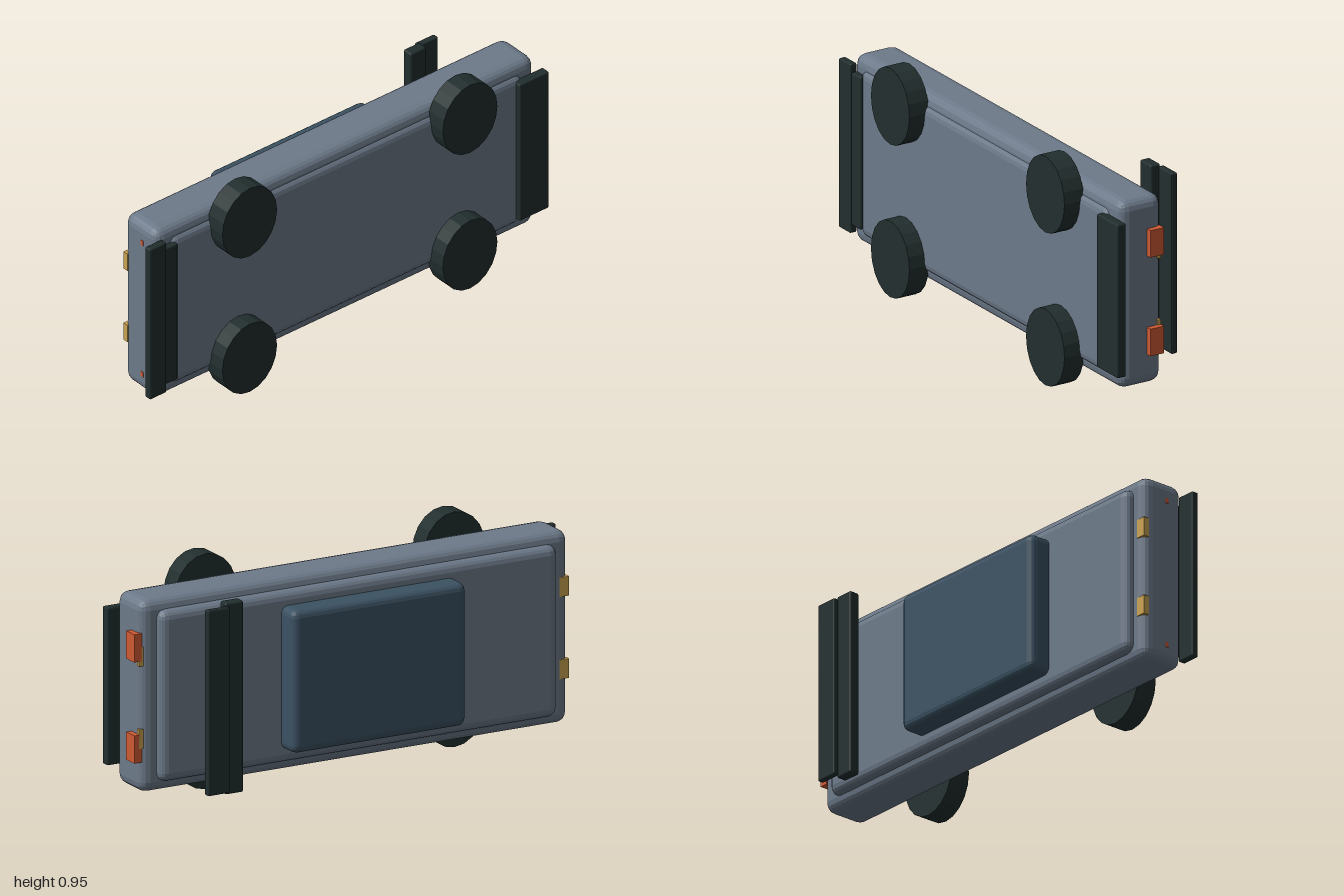
import * as THREE from 'three';
import { RoundedBoxGeometry } from 'three/addons/geometries/RoundedBoxGeometry.js';

const mat = (name, color) => {
  const m = new THREE.MeshStandardMaterial({ color });
  m.name = name;
  return m;
};

export function createModel() {
  const car = new THREE.Group();
  car.name = 'car';
  const paint = mat('greyPaint', 0x6d7a8a);
  const glass = mat('blueGlass', 0x3c5263);
  const dark = mat('darkTrim', 0x222e2e);
  const orange = mat('orangeLight', 0xcf5a33);
  const yellow = mat('yellowLight', 0xcaa352);

  // Box given by its limits on each axis, with optional faceted bevels
  function block(name, material, [x0, x1], [y0, y1], [z0, z1], bevel = 0) {
    const size = [x1 - x0, y1 - y0, z1 - z0];
    const geo = bevel ? new RoundedBoxGeometry(...size, 2, bevel) : new THREE.BoxGeometry(...size);
    geo.computeVertexNormals();
    const mesh = new THREE.Mesh(geo, material);
    mesh.name = name;
    mesh.position.set((x0 + x1) / 2, (y0 + y1) / 2, (z0 + z1) / 2);
    car.add(mesh);
    return mesh;
  }

  // Body shell, deck with underside, and cabin; the roof faces -z
  block('body', paint, [-0.945, 0.96], [0.088, 0.865], [-0.045, 0.15], 0.042);
  block('deck', paint, [-0.88, 0.89], [0.13, 0.822], [-0.08, 0.165], 0.036);
  block('cabin', glass, [-0.42, 0.355], [0.188, 0.765], [-0.17, -0.04], 0.03);

  // Bumpers and splitter
  block('rearBumper', dark, [0.85, 0.998], [0.16, 0.795], [0.147, 0.187], 0.006);
  block('frontSplitter', dark, [-1, -0.917], [0.13, 0.83], [0.15, 0.181], 0.006);
  block('frontBumper', dark, [-0.92, -0.855], [0.163, 0.795], [0.145, 0.175], 0.006);

  // Two-piece rear wing
  block('wingBlade', dark, [0.6, 0.68], [0.09, 0.862], [-0.215, -0.17], 0.008);
  block('wingFlap', dark, [0.672, 0.77], [0.102, 0.85], [-0.235, -0.208], 0.006);

  // Wheels, slightly oval, axles along z
  const wheelGeo = new THREE.CylinderGeometry(0.158, 0.158, 0.089, 20).toNonIndexed();
  wheelGeo.rotateX(Math.PI / 2).scale(0.868, 1, 1);
  wheelGeo.computeVertexNormals();
  for (const x of [-0.546, 0.56]) {
    for (const y of [0.158, 0.791]) {
      const wheel = new THREE.Mesh(wheelGeo, dark);
      wheel.name = 'wheel';
      wheel.position.set(x, y, 0.1915);
      car.add(wheel);
    }
  }

  // Lights, mirrored about the centre line y = 0.475
  for (const s of [-1, 1]) {
    const span = (a, b) => [0.475 + s * a, 0.475 + s * b].sort((p, q) => p - q);
    block('tailLight', orange, [0.95, 0.984], span(0.148, 0.26), [-0.036, 0.027]);
    block('tailMarker', yellow, [0.935, 0.962], span(0.127, 0.205), [-0.036, -0.02]);
    block('headlight', yellow, [-0.944, -0.902], span(0.127, 0.205), [-0.047, -0.022]);
    block('sideMarker', orange, [-0.947, -0.935], span(0.295, 0.317), [0.06, 0.075]);
  }
  return car;
}
